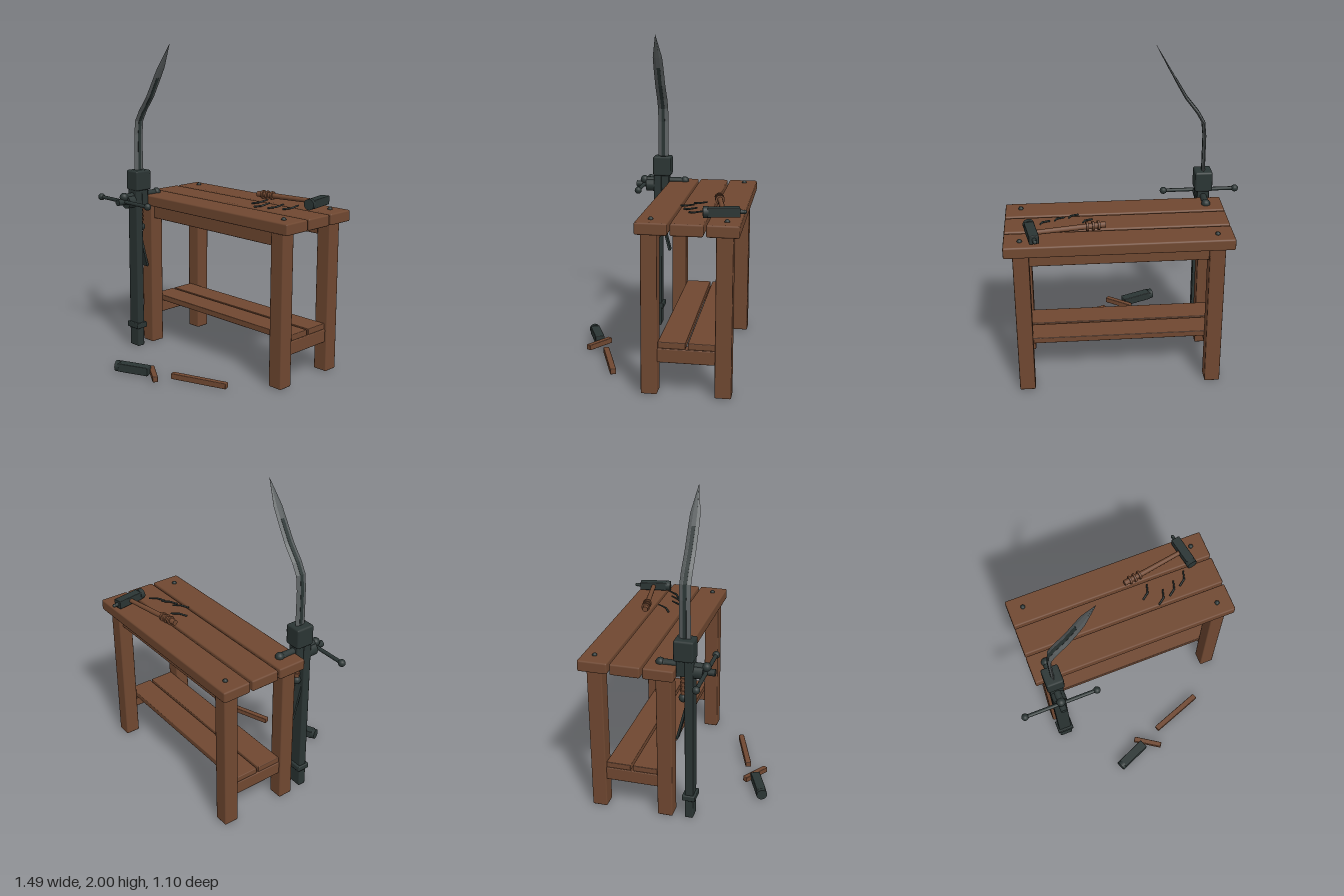
import * as THREE from 'three';
import { RoundedBoxGeometry } from 'three/addons/geometries/RoundedBoxGeometry.js';

const material = (name, color) => {
  const m = new THREE.MeshStandardMaterial({ color });
  m.name = name;
  return m;
};

// Closed solid through a row of cross-sections, counter-clockwise about the path
function loft(rings) {
  const pos = [];
  const tri = (...pts) => pts.forEach((p) => pos.push(p.x, p.y, p.z));
  const n = rings[0].length;
  for (let i = 0; i < rings.length - 1; i++) {
    for (let j = 0; j < n; j++) {
      const k = (j + 1) % n;
      const [a, b, c, d] = [rings[i][j], rings[i][k], rings[i + 1][k], rings[i + 1][j]];
      tri(a, b, c);
      tri(a, c, d);
    }
  }
  const first = rings[0], last = rings[rings.length - 1];
  for (let j = 1; j < n - 1; j++) {
    tri(first[0], first[j + 1], first[j]);
    tri(last[0], last[j], last[j + 1]);
  }
  const g = new THREE.BufferGeometry();
  g.setAttribute('position', new THREE.Float32BufferAttribute(pos, 3));
  g.computeVertexNormals();
  return g;
}

export function createModel() {
  const model = new THREE.Group();
  model.name = 'workbench';
  const wood = material('brown wood', 0x704831);
  const iron = material('dark iron', 0x2b3534);
  const steel = material('grey steel', 0x5b6061);

  const V = (x, y, z) => new THREE.Vector3(x, y, z);
  const group = (name) => {
    const g = new THREE.Group();
    g.name = name;
    model.add(g);
    return g;
  };
  const add = (parent, name, geo, mat) => {
    const m = new THREE.Mesh(geo, mat);
    m.name = name;
    parent.add(m);
    return m;
  };
  // Softly bevelled box given by its limits
  const box = (parent, name, mat, [x0, x1], [y0, y1], [z0, z1], r = 0.006) => {
    const m = add(parent, name, new RoundedBoxGeometry(x1 - x0, y1 - y0, z1 - z0, 1, r), mat);
    m.position.set((x0 + x1) / 2, (y0 + y1) / 2, (z0 + z1) / 2);
    return m;
  };
  // Round bar between two points
  const rod = (parent, name, mat, a, b, r0, r1 = r0, sides = 12) => {
    const dir = b.clone().sub(a);
    const m = add(parent, name, new THREE.CylinderGeometry(r1, r0, dir.length(), sides), mat);
    m.position.copy(a).add(b).multiplyScalar(0.5);
    m.quaternion.setFromUnitVectors(V(0, 1, 0), dir.normalize());
    return m;
  };
  // Bevelled bar lying level between two points
  const bar = (parent, name, mat, a, b, width, height) => {
    const d = b.clone().sub(a);
    const m = add(parent, name, new RoundedBoxGeometry(d.length(), height, width, 1, 0.005), mat);
    m.position.copy(a).add(b).multiplyScalar(0.5);
    m.rotation.y = -Math.atan2(d.z, d.x);
    return m;
  };
  const ball = (parent, name, mat, p, r) => {
    const m = add(parent, name, new THREE.SphereGeometry(r, 14, 10), mat);
    m.position.copy(p);
    return m;
  };

  // Bench: top planks, legs, aprons, stretchers and shelf
  const bench = group('bench');
  for (const z of [[-0.53, -0.346], [-0.332, -0.147], [-0.133, 0.052]])
    box(bench, 'topPlank', wood, [-0.597, 0.743], [0.95, 1.02], z, 0.01);
  const legX = [[-0.547, -0.452], [0.598, 0.693]];
  const legZ = [[-0.492, -0.397], [-0.069, 0.026]];
  for (const x of legX) {
    for (const z of legZ) box(bench, 'leg', wood, x, [0.005, 0.952], z, 0.008);
    box(bench, 'sideStretcher', wood, [x[0] + 0.013, x[1] - 0.013], [0.195, 0.278], [-0.4, -0.066]);
  }
  for (const z of [-0.445, -0.022])
    box(bench, 'apron', wood, [-0.46, 0.605], [0.86, 0.952], [z - 0.022, z + 0.022]);
  for (const z of [[-0.397, -0.242], [-0.229, -0.069]])
    box(bench, 'shelfBoard', wood, [-0.53, 0.675], [0.278, 0.316], z, 0.005);
  for (const x of [-0.5, 0.648])
    for (const z of [-0.452, -0.028]) ball(bench, 'bolt', iron, V(x, 1.021, z), 0.015);

  // Leg vise standing in front of the left leg
  const vise = group('vise');
  const vx = -0.492;
  box(vise, 'post', iron, [-0.535, -0.449], [0.005, 1.08], [0.101, 0.153], 0.007);
  box(vise, 'footCollar', iron, [-0.546, -0.438], [0.13, 0.167], [0.085, 0.168]);
  box(vise, 'jawHead', iron, [-0.547, -0.437], [1.06, 1.19], [0.037, 0.157], 0.012);
  box(vise, 'rearJaw', iron, [-0.53, -0.454], [0.96, 1.07], [0.05, 0.102]);
  rod(vise, 'screwBox', iron, V(vx, 0.99, 0.14), V(vx, 0.99, 0.207), 0.043, 0.043, 16);
  rod(vise, 'screw', iron, V(vx, 0.995, 0.03), V(vx, 0.995, 0.275), 0.021);
  rod(vise, 'handleBar', iron, V(-0.73, 0.995, 0.222), V(-0.258, 0.995, 0.222), 0.012);
  for (const x of [-0.726, -0.26]) ball(vise, 'handleKnob', iron, V(x, 0.995, 0.222), 0.023);

  // Leaf spring behind the post
  const spring = add(vise, 'leafSpring', new THREE.BoxGeometry(0.05, 0.25, 0.014), iron);
  spring.position.set(vx, 0.66, 0.079);
  spring.rotation.x = 0.25;

  // Bent sword held in the vise
  const sword = group('sword');
  const sz = 0.094;
  ball(sword, 'pommel', iron, V(vx, 0.81, 0.084), 0.028);
  rod(sword, 'grip', wood, V(vx, 0.83, 0.084), V(vx, 1.01, 0.084), 0.015);
  for (let y = 0.855; y < 0.99; y += 0.027)
    rod(sword, 'gripRib', wood, V(vx, y - 0.006, 0.084), V(vx, y + 0.006, 0.084), 0.02);
  rod(sword, 'crossGuard', iron, V(vx, 1.025, -0.05), V(vx, 1.025, 0.22), 0.021);
  for (const z of [-0.053, 0.222]) ball(sword, 'guardKnob', iron, V(vx, 1.025, z), 0.028);

  // Blade stations: x, y, half width, half thickness
  const stations = [
    [-0.492, 1.0, 0.036, 0.009], [-0.492, 1.42, 0.034, 0.009], [-0.482, 1.51, 0.034, 0.009],
    [-0.445, 1.575, 0.034, 0.009], [-0.372, 1.67, 0.033, 0.008], [-0.303, 1.79, 0.032, 0.006],
    [-0.266, 1.855, 0.03, 0.005], [-0.187, 1.998, 0.001, 0.001],
  ];
  const sections = (list, outline) => list.map(([x, y, w, t]) => {
    const i = stations.findIndex((s) => s[1] === y);
    const p = stations[Math.max(i - 1, 0)], q = stations[Math.min(i + 1, stations.length - 1)];
    const out = V(q[1] - p[1], p[0] - q[0], 0).normalize();
    return outline(w, t).map(([b, a]) => V(x, y, sz + b).addScaledVector(out, a));
  });
  const bladeOutline = (w, t) => {
    const f = w * 0.4;
    return [[w, 0], [f, t], [-f, t], [-w, 0], [-f, -t], [f, -t]];
  };
  const fullerOutline = (w, t) => {
    const f = 0.011, h = t + 0.0015;
    return [[f, h], [-f, h], [-f, -h], [f, -h]];
  };
  add(sword, 'blade', loft(sections(stations, bladeOutline)), steel);
  add(sword, 'fuller', loft(sections(stations.slice(0, 6), fullerOutline)), iron);

  // Hammer lying on the bench
  const hammer = group('hammer');
  const hy = 1.06;
  const h0 = V(0.148, hy, -0.352), h1 = V(0.58, hy, -0.425);
  rod(hammer, 'hammerHandle', wood, h0, h1, 0.018, 0.014);
  const along = h1.clone().sub(h0).normalize();
  for (const s of [0.035, 0.068, 0.103]) {
    const p = h0.clone().addScaledVector(along, s);
    rod(hammer, 'handleRing', wood, p, p.clone().addScaledVector(along, 0.013), 0.028);
  }
  bar(hammer, 'hammerHead', iron, V(0.562, hy, -0.515), V(0.594, hy, -0.335), 0.058, 0.054);
  rod(hammer, 'hammerFace', iron, V(0.592, hy, -0.342), V(0.597, hy, -0.312), 0.034, 0.034, 16);
  rod(hammer, 'peenNeck', iron, V(0.562, hy, -0.51), V(0.557, hy, -0.54), 0.014, 0.01);
  ball(hammer, 'peen', iron, V(0.557, hy, -0.54), 0.012);

  // Bent nails
  const nails = group('nails');
  for (const [x, z] of [[0.264, -0.246], [0.345, -0.178], [0.43, -0.208], [0.515, -0.248]]) {
    const knee = V(x, 1.036, z);
    rod(nails, 'nailShank', iron, V(x - 0.042, 1.028, z + 0.03), knee, 0.006, 0.006, 8);
    rod(nails, 'nailPoint', iron, knee, V(x + 0.014, 1.048, z - 0.052), 0.006, 0.005, 8);
    ball(nails, 'nailBend', iron, knee, 0.006);
  }

  // Broken hammer on the floor
  const broken = group('brokenHammer');
  bar(broken, 'brokenHandle', wood, V(0.115, 0.027, 0.362), V(0.46, 0.027, 0.238), 0.037, 0.036);
  bar(broken, 'handleStub', wood, V(-0.062, 0.027, 0.375), V(0.098, 0.027, 0.482), 0.034, 0.036);
  bar(broken, 'brokenHead', iron, V(-0.205, 0.037, 0.513), V(-0.015, 0.037, 0.433), 0.06, 0.054);
  rod(broken, 'brokenFace', iron, V(-0.223, 0.037, 0.52), V(-0.197, 0.037, 0.509), 0.034, 0.034, 16);
  return model;
}
